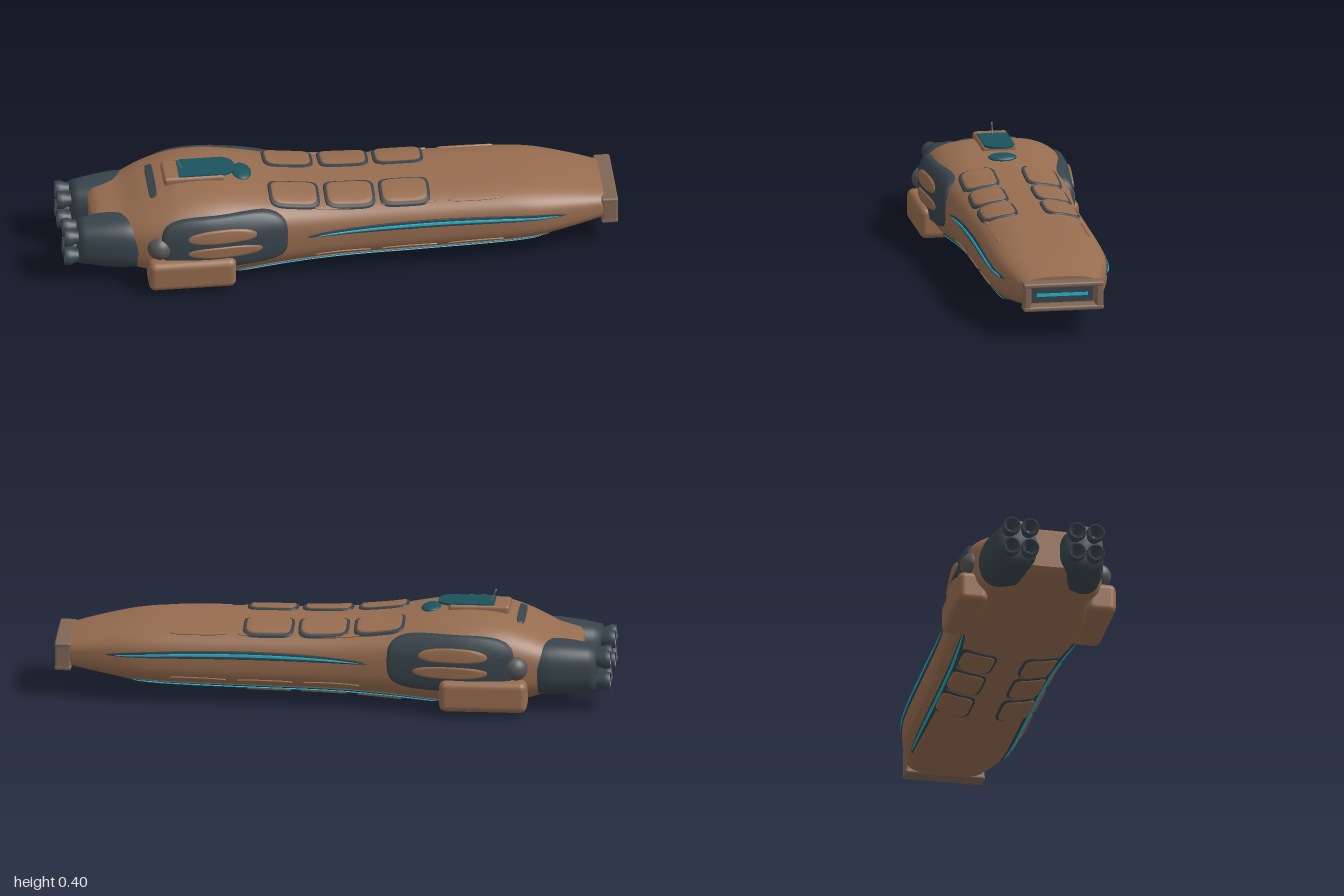
import * as THREE from 'three';
import { RoundedBoxGeometry } from 'three/addons/geometries/RoundedBoxGeometry.js';

const mat = (name, color) => new THREE.MeshStandardMaterial({ name, color, side: THREE.DoubleSide });

// hull stations: x, half width, bottom, top
const HULL = [
  [-0.893, 0.14, 0.09, 0.225], [-0.88, 0.165, 0.075, 0.24], [-0.84, 0.187, 0.063, 0.25],
  [-0.78, 0.208, 0.05, 0.264], [-0.7, 0.235, 0.028, 0.3], [-0.6, 0.252, 0.008, 0.332],
  [-0.48, 0.258, 0, 0.34], [-0.36, 0.248, 0.009, 0.328], [-0.2, 0.23, 0.025, 0.302],
  [0, 0.217, 0.037, 0.287], [0.3, 0.213, 0.043, 0.284], [0.6, 0.211, 0.052, 0.28],
  [0.72, 0.203, 0.062, 0.268], [0.85, 0.173, 0.083, 0.242], [0.95, 0.143, 0.102, 0.216]
];
const N = 3; // roundness of the hull section

// smooth hull dimensions at x
function hullAt(x) {
  let i = 0;
  while (i < HULL.length - 2 && x > HULL[i + 1][0]) i++;
  const a = HULL[i], b = HULL[i + 1], p = HULL[Math.max(i - 1, 0)], q = HULL[Math.min(i + 2, HULL.length - 1)];
  const d = b[0] - a[0], t = Math.min(1, Math.max(0, (x - a[0]) / d));
  const f = k => {
    const m0 = (b[k] - p[k]) / (b[0] - p[0]) * d, m1 = (q[k] - a[k]) / (q[0] - a[0]) * d;
    return a[k] * (1 + 2 * t) * (1 - t) ** 2 + m0 * t * (1 - t) ** 2
      + b[k] * t * t * (3 - 2 * t) - m1 * t * t * (1 - t);
  };
  const lo = f(2), hi = f(3);
  return { w: f(1), yc: (lo + hi) / 2, h: (hi - lo) / 2 };
}

const spow = (c, e) => Math.sign(c) * Math.abs(c) ** e;
const dome = r => Math.max(0, 1 - Math.abs(r) ** N) ** (1 / N);

// point on the hull pushed out by off; v is z (top, bottom), y (side) or an angle (corner)
function onHull(kind, x, v, off) {
  const s = hullAt(x), w = s.w + off, h = s.h + off;
  if (kind === 'top') return [x, s.yc + h * dome(v / w), v];
  if (kind === 'bottom') return [x, s.yc - h * dome(v / w), v];
  if (kind === 'side') return [x, v, w * dome((v - s.yc) / h)];
  return [x, s.yc + h * spow(Math.sin(v), 2 / N), w * spow(Math.cos(v), 2 / N)];
}

// joins rows of points into a smooth surface
function gridGeometry(rows) {
  const n = rows[0].length, idx = [];
  for (let i = 0; i < rows.length - 1; i++)
    for (let j = 0; j < n; j++) {
      const k = (j + 1) % n, a = i * n + j, b = i * n + k;
      idx.push(a, a + n, b, b, a + n, b + n);
    }
  const g = new THREE.BufferGeometry();
  g.setAttribute('position', new THREE.Float32BufferAttribute(rows.flat(2), 3));
  g.setIndex(idx);
  g.computeVertexNormals();
  return g;
}

// closed section ring
function ring(x, w, yc, h, cz, n) {
  return Array.from({ length: 64 }, (_, j) => {
    const a = j / 64 * Math.PI * 2;
    return [x, yc + h * spow(Math.sin(a), 2 / n), cz + w * spow(Math.cos(a), 2 / n)];
  });
}

// raised plate that follows the hull; power sets how square its outline is
function plateGeometry(kind, cx, cv, hx, hv, power, off, bow = 0) {
  const rows = [[0, off], [0.25, off], [0.5, off], [0.75, off], [0.95, off], [1, off * 0.7], [1.005, -0.004]];
  return gridGeometry(rows.map(([r, o]) => Array.from({ length: 64 }, (_, j) => {
    const a = j / 64 * Math.PI * 2;
    const u = r * spow(Math.cos(a), 2 / power), v = r * spow(Math.sin(a), 2 / power);
    return onHull(kind, cx + hx * u, cv + hv * v + bow * (1 - u * u), o);
  })));
}

export function createModel() {
  const root = new THREE.Group();
  root.name = 'spaceship';
  const brown = mat('hull brown', 0x966c4f), slate = mat('dark slate', 0x38444b);
  const teal = mat('deep teal', 0x1b535d), cyan = mat('glow cyan', 0x20b4ca);
  const frame = mat('nose frame taupe', 0x806656), grey = mat('sensor grey', 0x555556);

  const add = (name, geo, m, x = 0, y = 0, z = 0) => {
    const mesh = new THREE.Mesh(geo, m);
    mesh.name = name;
    mesh.position.set(x, y, z);
    root.add(mesh);
    return mesh;
  };
  const box = (name, m, sx, sy, sz, x, y, z, r) =>
    add(name, r ? new RoundedBoxGeometry(sx, sy, sz, 3, r) : new THREE.BoxGeometry(sx, sy, sz), m, x, y, z);
  const plate = (name, m, s, ...args) => { add(name, plateGeometry(...args), m).scale.z = s; };

  // hull body with flat ends
  const rows = [];
  for (let i = 0; i <= 110; i++) {
    const x = -0.893 + 1.843 * i / 110, s = hullAt(x);
    rows.push(ring(x, s.w, s.yc, s.h, 0, N));
  }
  add('hull', gridGeometry(rows), brown);
  for (const [x, e] of [[-0.893, 'rear'], [0.95, 'front']]) {
    const s = hullAt(x);
    add(e + 'HullCap', gridGeometry([ring(x, s.w, s.yc, s.h, 0, N), ring(x, 0, s.yc, 0, 0, N)]), brown);
  }

  // hollow nose frame with light bar
  for (const s of [-1, 1]) {
    box('noseBeam', frame, 0.06, 0.018, 0.292, 0.97, 0.152 + s * 0.043, 0, 0.007);
    box('nosePost', frame, 0.058, 0.1, 0.028, 0.97, 0.152, s * 0.131, 0.009);
  }
  box('noseBackPanel', slate, 0.008, 0.056, 0.228, 0.955, 0.152, 0);
  box('noseLight', cyan, 0.006, 0.011, 0.186, 0.961, 0.152, 0);

  for (const s of [-1, 1]) {
    // engine pod
    const pod = [[-0.95, 0, 0], [-0.95, 0.066, 0.079], [-0.92, 0.074, 0.084], [-0.86, 0.087, 0.093],
      [-0.79, 0.099, 0.1], [-0.74, 0.1, 0.098], [-0.68, 0.08, 0.08]];
    add('enginePod', gridGeometry(pod.map(([x, w, h]) => ring(x, w, 0.155, h, s * 0.122, 2.5))), slate);

    // four bell nozzles on each pod
    for (const dy of [-0.04, 0.04]) for (const dz of [-0.034, 0.034]) {
      const bell = [[0, -0.012], [0.012, 0.012], [0.026, 0.05], [0.032, 0.05], [0.033, 0.03], [0.025, 0.012], [0.023, -0.012]]
        .map(p => new THREE.Vector2(...p));
      add('nozzle', new THREE.LatheGeometry(bell, 20), slate, -0.95, 0.152 + dy, s * 0.12 + dz).rotation.z = Math.PI / 2;
    }

    // side armour with two inset slots
    plate('sideArmour', slate, s, 'side', -0.43, 0.192, 0.228, 0.1, 3.6, 0.011);
    plate('upperArmourSlot', brown, s, 'side', -0.44, 0.222, 0.125, 0.026, 2.4, 0.016, 0.005);
    plate('lowerArmourSlot', brown, s, 'side', -0.43, 0.163, 0.135, 0.022, 2.4, 0.016);
    add('sensorBall', new THREE.SphereGeometry(0.044, 24, 16), grey, -0.665, 0.177, s * 0.232);
    box('sidePod', brown, 0.315, 0.115, 0.11, -0.55, 0.078, s * 0.235, 0.025);

    // glowing side and lower strips
    plate('sideStripBase', slate, s, 'side', 0.34, 0.178, 0.47, 0.015, 2, 0.004, 0.016);
    plate('sideStripLight', cyan, s, 'side', 0.34, 0.178, 0.44, 0.005, 2, 0.007, 0.016);
    plate('lowerStripBase', slate, s, 'corner', 0.17, -0.76, 0.58, 0.1, 2, 0.005);
    plate('lowerStripLight', cyan, s, 'corner', 0.17, -0.76, 0.55, 0.035, 2, 0.008);

    // slim hull ribs along the upper and lower corners
    for (const x of [0, 0.24, 0.48]) {
      plate('upperRib', brown, s, 'corner', x, 0.8, 0.1, 0.07, 2.2, 0.004);
      plate('lowerRib', brown, s, 'corner', x, -0.42, 0.1, 0.05, 2.2, 0.004);
    }

    // framed hatch panels above and below
    for (const kind of ['top', 'bottom']) for (const x of [-0.168, 0.032, 0.23]) {
      plate(kind + 'HatchRim', slate, s, kind, x, 0.114, 0.091, 0.066, 5, 0.006);
      plate(kind + 'Hatch', brown, s, kind, x, 0.114, 0.081, 0.057, 5, 0.01);
    }
  }

  // dorsal housing, window, round port and rear bar
  box('dorsalHousing', brown, 0.22, 0.035, 0.125, -0.52, 0.337, 0, 0.012);
  const w = new THREE.Shape();
  w.moveTo(-0.1, -0.055);
  w.lineTo(0.06, -0.055);
  w.quadraticCurveTo(0.105, -0.045, 0.105, 0);
  w.quadraticCurveTo(0.105, 0.045, 0.06, 0.055);
  w.lineTo(-0.1, 0.055);
  const win = add('dorsalWindow', new THREE.ExtrudeGeometry(w, { depth: 0.008, bevelEnabled: false }), teal, -0.475, 0.35, 0);
  win.rotation.x = -Math.PI / 2;
  const port = add('dorsalPort', new THREE.SphereGeometry(1, 28, 14), teal, -0.345, 0.327, 0);
  port.scale.set(0.036, 0.012, 0.052);
  port.rotation.z = -0.1;
  plate('dorsalBar', slate, 1, 'top', -0.672, 0, 0.014, 0.102, 5, 0.006);

  // raked antenna
  add('antenna', new THREE.CylinderGeometry(0.002, 0.003, 0.05, 8), frame, -0.567, 0.372, 0).rotation.z = 0.4;
  add('antennaTip', new THREE.SphereGeometry(0.0035, 10, 8), cyan, -0.577, 0.395, 0);
  return root;
}
